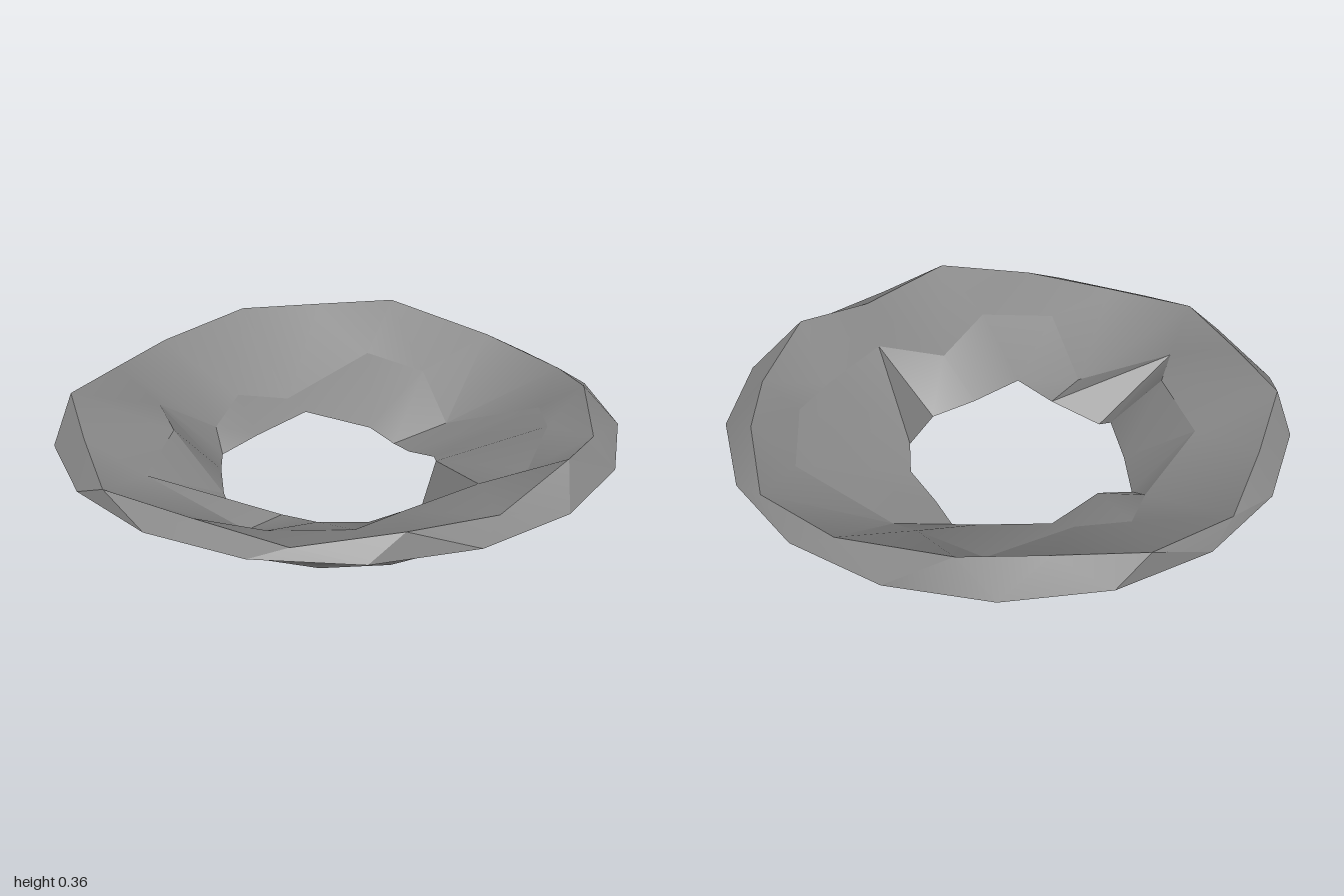
import * as THREE from 'three';
import { toCreasedNormals } from 'three/addons/utils/BufferGeometryUtils.js';

const TAU = Math.PI * 2;
const SIDES = 17;

// Regular ring of points, turned by a number of half sides
function regularRing(radius, y, halfSides) {
  return Array.from({ length: SIDES }, (_, i) => {
    const a = -1.551 + ((i + halfSides / 2) / SIDES) * TAU;
    return new THREE.Vector3(radius * Math.cos(a), y, radius * Math.sin(a));
  });
}
// Irregular ring from [x, y, z] triples
const ring = (pts) => pts.map((p) => new THREE.Vector3(...p));

// Ring sorted around the y axis, with the angle turned back by a twist
function sorted(points, twist) {
  return points
    .map((p) => ({ p, a: (((Math.atan2(p.z, p.x) - twist) % TAU) + TAU) % TAU }))
    .sort((u, v) => u.a - v.a);
}

// Stitches two rings of any point counts into a closed band
function band(ringA, ringB, twist = 0) {
  const A = sorted(ringA, 0), B = sorted(ringB, twist);
  const at = (R, i) => R[i % R.length].p;
  const angle = (R, i) => R[i % R.length].a + Math.floor(i / R.length) * TAU;
  const out = [];
  let i = 0, j = 0;
  while (i < A.length || j < B.length) {
    const stepA = j >= B.length || (i < A.length && angle(A, i + 1) <= angle(B, j + 1));
    const tri = stepA
      ? [at(A, i), at(B, j), at(A, i + 1)]
      : [at(A, i), at(B, j), at(B, j + 1)];
    tri.forEach((p) => out.push(p.x, p.y, p.z));
    if (stepA) i++; else j++;
  }
  return out;
}

export function createModel() {
  const stone = new THREE.MeshStandardMaterial({ color: 0x888888, side: THREE.DoubleSide });
  stone.name = 'grey stone';

  // Cross-section rings, from the outer rim over the crest to the hole and the foot
  const rim = regularRing(1, 0.235, 0);
  const crest = ring([
    [0.94, 0.26, 0.17], [0.79, 0.32, 0.44], [0.57, 0.28, 0.7], [0.28, 0.345, 0.86],
    [-0.06, 0.27, 0.9], [-0.42, 0.32, 0.87], [-0.7, 0.27, 0.66], [-0.84, 0.28, 0.34],
    [-0.97, 0.29, 0.02], [-0.85, 0.31, -0.31], [-0.72, 0.33, -0.63], [-0.43, 0.3, -0.8],
    [-0.12, 0.28, -0.96], [0.25, 0.33, -0.95], [0.5, 0.345, -0.77], [0.74, 0.36, -0.59],
    [0.91, 0.29, -0.2],
  ]);
  const slope = ring([
    [0.72, 0.2, 0.29], [0.55, 0.25, 0.5], [0.33, 0.2, 0.63], [0.07, 0.24, 0.66],
    [-0.15, 0.16, 0.54], [-0.41, 0.21, 0.61], [-0.62, 0.2, 0.43], [-0.53, 0.06, 0.18],
    [-0.74, 0.22, -0.1], [-0.53, 0.27, -0.25], [-0.42, 0.24, -0.52], [-0.18, 0.08, -0.52],
    [0, 0.125, -0.63], [0.15, 0.11, -0.51], [0.55, 0.2, -0.51], [0.62, 0.19, -0.25],
    [0.56, 0.06, -0.04],
  ]);
  const hole = ring([
    [0.34, 0.02, 0], [0.33, 0.06, 0.15], [0.26, 0.1, 0.24], [0, 0, 0.43],
    [-0.15, 0.04, 0.36], [-0.33, 0.08, 0.31], [-0.36, 0.05, 0.15], [-0.44, 0, -0.03],
    [-0.43, 0.05, -0.1], [-0.32, 0.04, -0.28], [-0.22, 0.015, -0.42], [-0.08, 0.065, -0.39],
    [0.17, 0.08, -0.42], [0.33, 0.04, -0.22], [0.365, 0, -0.12],
  ]);
  const foot = regularRing(0.635, 0.01, 1);
  const ankle = regularRing(0.65, 0.04, 1);
  const waist = regularRing(0.76, 0.115, 0);

  const group = new THREE.Group();
  group.name = 'craterRing';
  const parts = [
    ['outerLip', 0.45, band(rim, crest)],
    ['innerSlope', 0.6, band(crest, slope)],
    ['innerLedge', 0.45, band(slope, hole, -0.1)],
    ['holeUnderside', 0.45, band(hole, foot)],
    ['outerWall', 0.9, [...band(foot, ankle), ...band(ankle, waist), ...band(waist, rim)]],
  ];
  for (const [name, crease, positions] of parts) {
    const geometry = new THREE.BufferGeometry();
    geometry.setAttribute('position', new THREE.Float32BufferAttribute(positions, 3));
    const mesh = new THREE.Mesh(toCreasedNormals(geometry, crease), stone);
    mesh.name = name;
    group.add(mesh);
  }
  return group;
}
